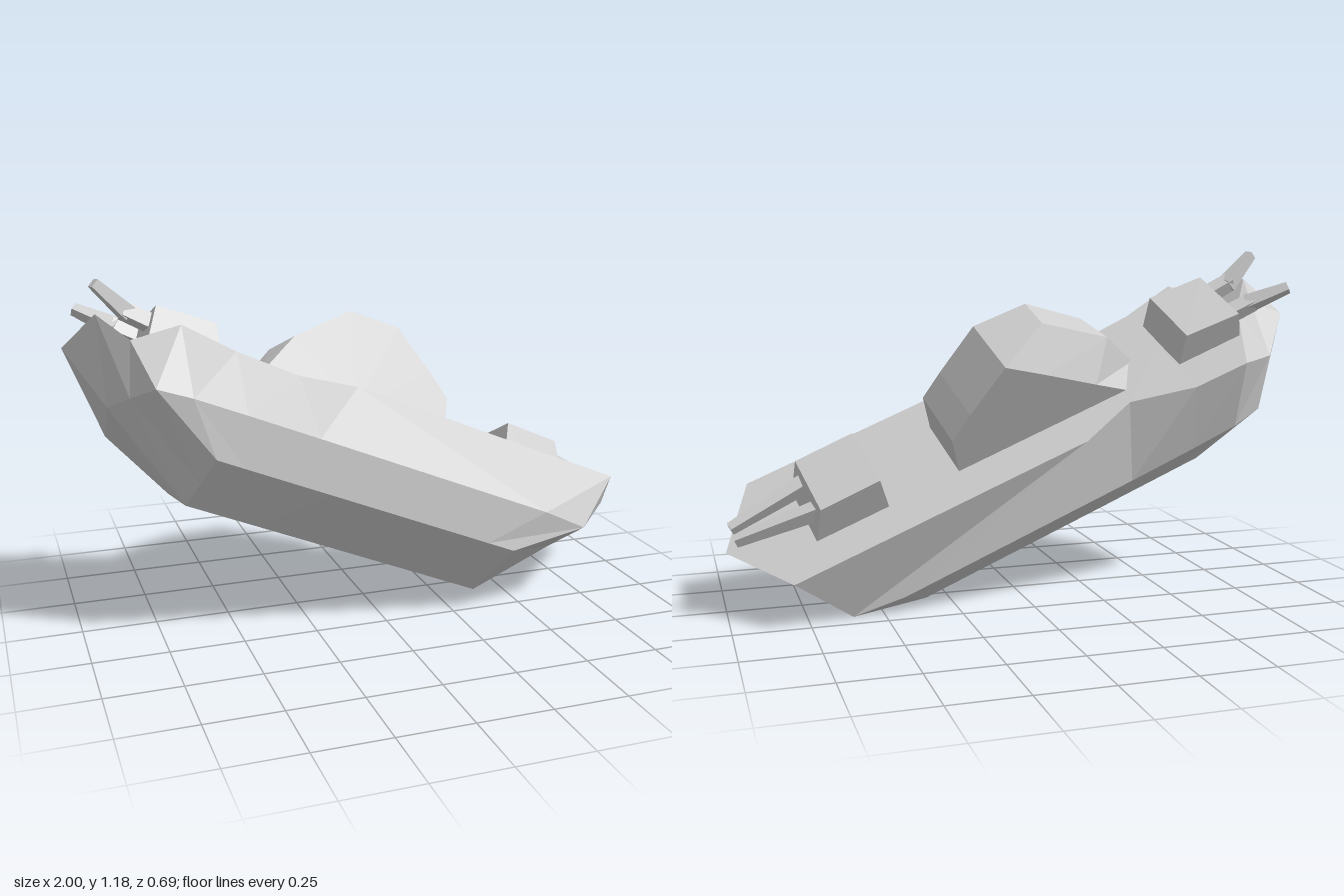
import * as THREE from 'three';

const material = new THREE.MeshStandardMaterial({ color: 0xcccccc, flatShading: true, side: THREE.DoubleSide });

// Skin a list of equal-length rings of [x, y, z] points
function loft(name, rings, closed) {
  const n = rings[0].length;
  const pos = rings.flat(2);
  const index = [];
  for (let i = 0; i < rings.length - 1; i++) {
    for (let j = 0; j < (closed ? n : n - 1); j++) {
      const k = (j + 1) % n;
      const a = i * n + j, b = i * n + k, c = b + n, d = a + n;
      index.push(a, b, c, a, c, d);
    }
  }
  let g = new THREE.BufferGeometry();
  g.setAttribute('position', new THREE.Float32BufferAttribute(pos, 3));
  g.setIndex(index);
  g = g.toNonIndexed();
  g.computeVertexNormals();
  const mesh = new THREE.Mesh(g, material);
  mesh.name = name;
  return mesh;
}

// Block from side profiles [x, y] placed at several z, closed by flat sides
function block(name, slices) {
  const rings = slices.map(([z, profile]) => profile.map(([x, y]) => [x, y, z]));
  const cap = (ring) => {
    const a = ring[0], b = ring[ring.length - 1];
    return ring.map(() => [(a[0] + b[0]) / 2, a[1], a[2]]);
  };
  return loft(name, [cap(rings[0]), ...rings, cap(rings[rings.length - 1])], false);
}

// Four-sided tapered bar between two points
function bar(name, from, to, r0, r1) {
  const a = new THREE.Vector3(...from), b = new THREE.Vector3(...to);
  const dir = b.clone().sub(a);
  const g = new THREE.CylinderGeometry(r1, r0, dir.length(), 4);
  g.rotateY(Math.PI / 4);
  const mesh = new THREE.Mesh(g, material);
  mesh.quaternion.setFromUnitVectors(new THREE.Vector3(0, 1, 0), dir.normalize());
  mesh.position.copy(a.add(b).multiplyScalar(0.5));
  mesh.name = name;
  return mesh;
}

function hull() {
  // Deck edge: stern tip, one side to the bow, back along the other side
  const deck = [
    [0.837, 0.532, 0], [0.682, 0.532, 0.254], [-0.38, 0.532, 0.255], [-0.565, 0.532, 0.188],
    [-0.8, 0.532, 0.204], [-1.01, 0.532, 0.255], [-1.142, 0.45, 0.2], [-1.252, 0.53, 0.124],
    [-1.297, 0.457, -0.044], [-1.142, 0.45, -0.2], [-1.01, 0.532, -0.255], [-0.81, 0.532, -0.253],
    [-0.587, 0.532, -0.181], [-0.38, 0.532, -0.255], [0.682, 0.532, -0.254],
  ];
  // Half outlines of the side knuckle and of the chine, [x, z]
  const knuckle = [[0.605, 0], [0.556, 0.284], [0.377, 0.308], [-0.5, 0.3], [-0.75, 0.295],
    [-0.93, 0.288], [-1.045, 0.265], [-1.085, 0.13], [-1.12, 0]];
  const chine = [[0.304, 0], [0.304, 0.237], [0.2, 0.236], [-0.4, 0.23], [-0.55, 0.228],
    [-0.7, 0.226], [-0.8, 0.225], [-0.8, 0.11], [-0.8, 0]];
  const far = [6, 5, 4, 3, 2, 1];
  const around = (half, y) => [
    ...half.map(([x, z]) => [x, y(z), z]),
    ...far.map((i) => [half[i][0], y(half[i][1]), -half[i][1]]),
  ];
  const low = around(chine, (z) => 0.052 + 0.096 * Math.min(1, z / 0.225));
  return loft('hull', [
    deck.map(([x]) => [Math.max(x, -1.2), 0.53, 0]),
    deck,
    around(knuckle, () => 0.293),
    low,
    low.map(([x]) => [x, 0.052, 0]),
  ], true);
}

function turret(name, profile, half) {
  return block(name, [[half, profile], [-half, profile]]);
}

export function createModel() {
  const model = new THREE.Group();
  model.name = 'warship';
  const ship = new THREE.Group();
  ship.name = 'tiltedShip';
  model.add(ship);

  ship.add(hull());

  // Bridge, sloping lower towards the bow on the far side
  const aft = [[-0.2, 0.873], [-0.048, 0.748], [0.033, 0.674], [0.04, 0.52]];
  ship.add(block('bridge', [
    [0.122, [[-0.68, 0.52], [-0.584, 0.698], [-0.395, 0.868], ...aft]],
    [0, [[-0.7, 0.52], [-0.62, 0.68], [-0.395, 0.868], ...aft]],
    [-0.122, [[-0.62, 0.52], [-0.5, 0.62], [-0.33, 0.765], ...aft]],
  ]));

  // Gun turrets
  ship.add(turret('sternTurret', [[0.3, 0.52], [0.298, 0.66], [0.508, 0.655], [0.563, 0.52]], 0.127));
  ship.add(turret('bowTurret', [[-1.07, 0.52], [-1.07, 0.632], [-0.86, 0.645], [-0.817, 0.52]], 0.123));

  // Gun barrels: straight pair at the stern, splayed pair at the bow
  for (const s of [1, -1]) {
    ship.add(bar('sternBarrel', [0.5, 0.6, s * 0.07], [0.79, 0.595, s * 0.03], 0.036, 0.022));
    ship.add(bar('bowBarrelBase', [-1.04, 0.59, s * 0.065], [-1.16, 0.6, s * 0.07], 0.036, 0.034));
    ship.add(bar('bowBarrel', [-1.14, 0.598, s * 0.065], [-1.28, 0.635, s * 0.115], 0.036, 0.022));
  }

  // Pitch and roll of the whole ship
  const along = new THREE.Vector3(0.922, -0.387, 0).normalize();
  const across = new THREE.Vector3(0.203, 0.484, 0.851).normalize();
  const up = across.clone().cross(along).normalize();
  across.crossVectors(along, up);
  const m = new THREE.Matrix4().makeBasis(along, up, across);
  m.setPosition(across.clone().multiplyScalar(0.257));
  m.decompose(ship.position, ship.quaternion, ship.scale);
  return model;
}
